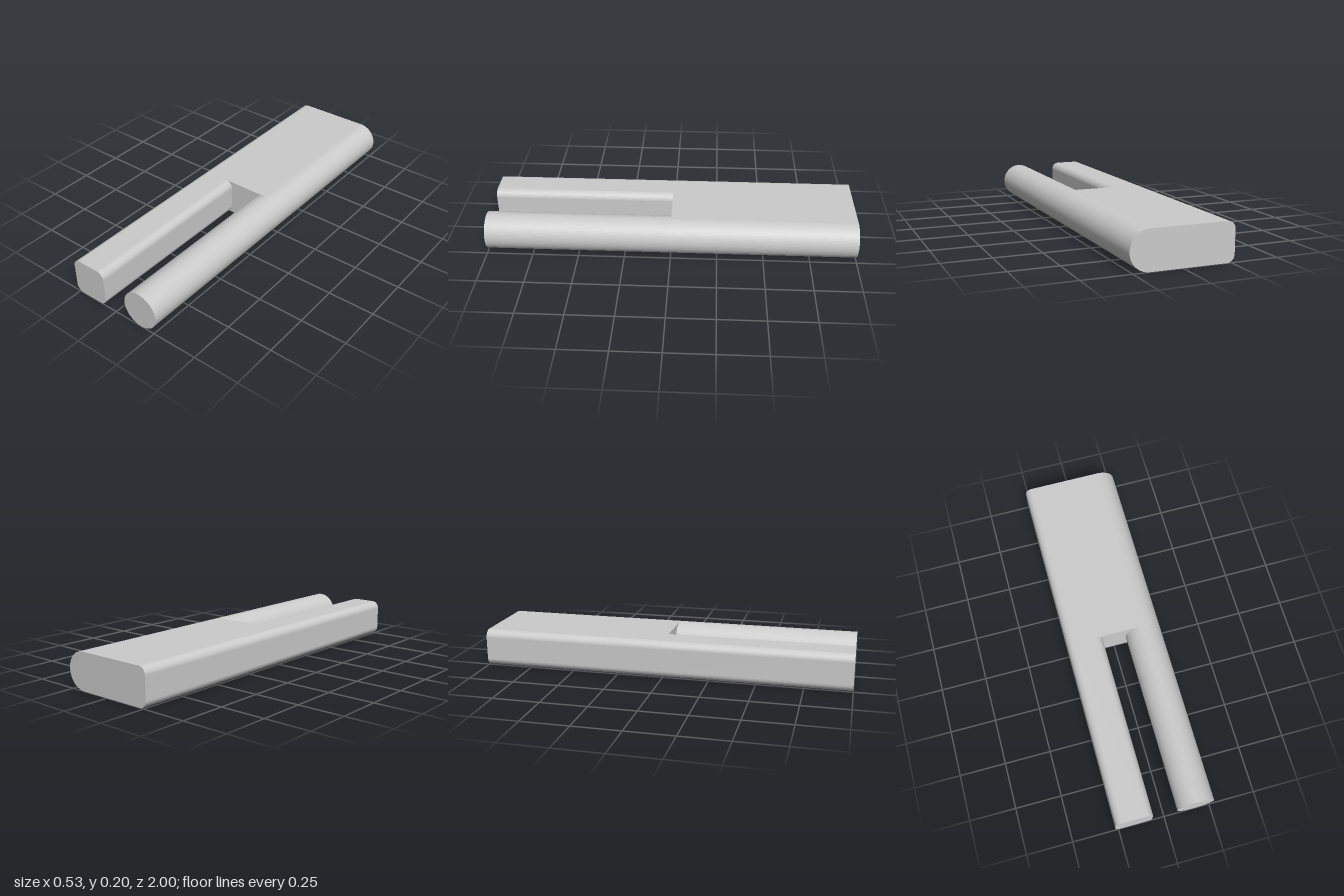
import * as THREE from 'three';

const HALF = 0.267;   // half of the total width
const R = 0.1;        // round rod radius, half of the height
const C = 0.04;       // corner radius of the square bar
const ROD_X = HALF - R;
const BAR_RIGHT = -HALF + 2 * R;

// Outline with rounded corners: one radius on the -x side, another on the +x side
function outline(x0, x1, rLeft, rRight) {
  const s = new THREE.Shape();
  const h = 2 * R;
  s.moveTo(x0 + rLeft, 0);
  s.lineTo(x1 - rRight, 0);
  s.absarc(x1 - rRight, rRight, rRight, -Math.PI / 2, 0);
  s.absarc(x1 - rRight, h - rRight, rRight, 0, Math.PI / 2);
  s.lineTo(x0 + rLeft, h);
  s.absarc(x0 + rLeft, h - rLeft, rLeft, Math.PI / 2, Math.PI);
  s.absarc(x0 + rLeft, rLeft, rLeft, Math.PI, Math.PI * 1.5);
  return s;
}

export function createModel() {
  const group = new THREE.Group();
  const material = new THREE.MeshStandardMaterial({ color: 0xcccccc });

  // Extrudes a profile one unit along z
  const addPart = (name, shape, z) => {
    const geometry = new THREE.ExtrudeGeometry(shape, { depth: 1, bevelEnabled: false, curveSegments: 10 });
    geometry.translate(0, 0, z);
    const mesh = new THREE.Mesh(geometry, material);
    mesh.name = name;
    group.add(mesh);
  };

  // Solid rear half: square-sided at -x, fully round at +x
  addPart('rearBody', outline(-HALF, HALF, C, R), -1);

  // Two front prongs: a rounded square bar and a round rod
  addPart('squareProng', outline(-HALF, BAR_RIGHT, C, C), 0);
  addPart('roundProng', outline(ROD_X - R, HALF, R, R), 0);

  return group;
}
